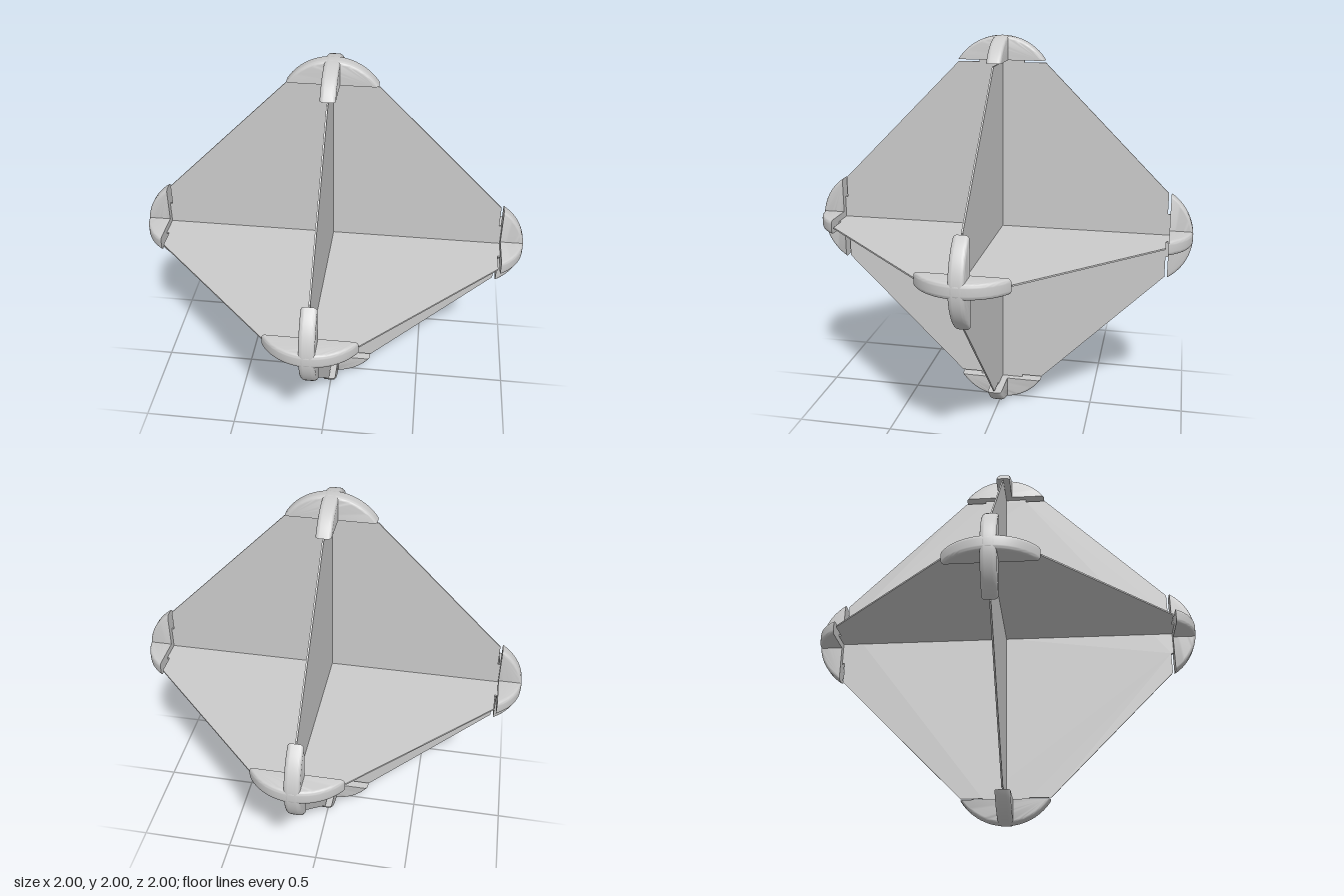
import * as THREE from 'three';
import { toCreasedNormals } from 'three/addons/utils/BufferGeometryUtils.js';

const CHORD = 0.88;      // flat inner side of each cap, measured from the centre
const HALF_WIDTH = 0.222; // half the span of a cap arm
const RADIUS = (HALF_WIDTH ** 2 + (1 - CHORD) ** 2) / (2 * (1 - CHORD));
const HALF_DEPTH = 0.0375;
const PLATE = 0.008;

// Square plate with cut corners and a tongue reaching into each cap
function plateGeometry() {
  const corner = [[0.225, 0.867], [0.116, 0.867], [0.116, 0.885], [-0.116, 0.885], [-0.116, 0.867], [-0.225, 0.867]];
  const points = [];
  for (let k = 0; k < 4; k++) {
    for (const [x, y] of corner) {
      points.push(new THREE.Vector2(x, y).rotateAround(new THREE.Vector2(), k * Math.PI / 2));
    }
  }
  const geometry = new THREE.ExtrudeGeometry(new THREE.Shape(points), { depth: PLATE, bevelEnabled: false });
  return geometry.translate(0, 0, -PLATE / 2);
}

// Circular segment with thickness, its curved rim rounded towards both faces
function armGeometry() {
  const steps = 28, rounds = 5, bevelAcross = 0.02, bevelIn = 0.015;
  const layers = [];
  for (let i = 0; i <= rounds; i++) {
    const a = i / rounds * Math.PI / 2;
    layers.push([-HALF_DEPTH + bevelAcross * (1 - Math.cos(a)), bevelIn * (1 - Math.sin(a))]);
  }
  for (let i = rounds; i >= 0; i--) layers.push([-layers[i][0], layers[i][1]]);

  const positions = [], index = [], n = steps + 1;
  const centre = 1 - RADIUS;
  for (const [z, inset] of layers) {
    const r = RADIUS - inset;
    const spread = Math.acos((CHORD - centre) / r);
    for (let j = 0; j <= steps; j++) {
      const t = spread * (1 - 2 * j / steps);
      positions.push(r * Math.sin(t), centre + r * Math.cos(t), z);
    }
  }
  const last = (layers.length - 1) * n;
  for (let i = 0; i < last; i += n) {
    for (let j = 0; j < n; j++) {
      const k = (j + 1) % n;
      index.push(i + j, i + k, i + n + k, i + j, i + n + k, i + n + j);
    }
  }
  for (let j = 1; j < steps; j++) {
    index.push(0, j + 1, j, last, last + j, last + j + 1);
  }
  const geometry = new THREE.BufferGeometry();
  geometry.setAttribute('position', new THREE.Float32BufferAttribute(positions, 3));
  geometry.setIndex(index);
  return toCreasedNormals(geometry, 0.7);
}

export function createModel() {
  const model = new THREE.Group();
  model.name = 'octahedralReflector';
  const material = new THREE.MeshStandardMaterial({ color: 0xcccccc });
  const q = Math.PI / 2;

  // Three crossing plates
  const plate = plateGeometry();
  const plates = { frontPlate: [0, 0], sidePlate: [0, q], levelPlate: [q, 0] };
  for (const [name, [rx, ry]] of Object.entries(plates)) {
    const mesh = new THREE.Mesh(plate, material);
    mesh.name = name;
    mesh.rotation.set(rx, ry, 0);
    mesh.position.y = 1;
    model.add(mesh);
  }

  // Cross-shaped cap on each of the six corners
  const arm = armGeometry();
  const caps = {
    topCap: [0, 0], bottomCap: [2 * q, 0], frontCap: [q, 0],
    backCap: [-q, 0], leftCap: [0, -q], rightCap: [0, q],
  };
  for (const [name, [rx, rz]] of Object.entries(caps)) {
    const cap = new THREE.Group();
    cap.name = name;
    for (let i = 0; i < 2; i++) {
      const mesh = new THREE.Mesh(arm, material);
      mesh.name = 'capArm';
      mesh.rotation.y = i * q;
      cap.add(mesh);
    }
    cap.rotation.set(rx, 0, rz);
    cap.position.y = 1;
    model.add(cap);
  }
  return model;
}
